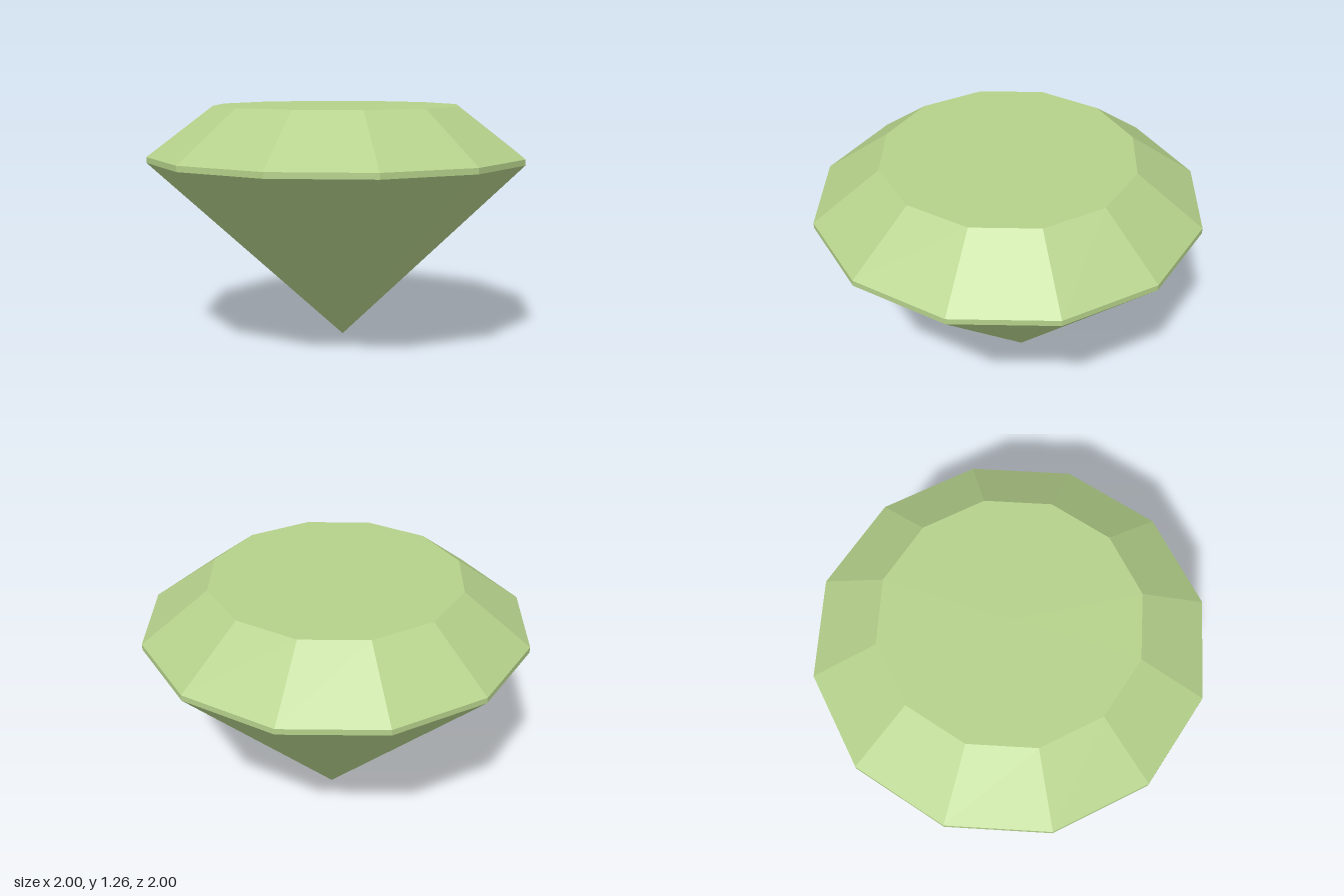
import * as THREE from 'three';

const SIDES = 12;
const GIRDLE_LOW = 0.97, GIRDLE_HIGH = 1.0, TABLE_Y = 1.26, TABLE_R = 0.655;
const CULET = { x: 0.07, z: -0.035 };

export function createModel() {
  const gem = new THREE.Group();
  gem.name = 'gem';
  const material = new THREE.MeshStandardMaterial({ color: 0xb4d08a, flatShading: true });

  const add = (name, geometry) => {
    const mesh = new THREE.Mesh(geometry, material);
    mesh.name = name;
    gem.add(mesh);
  };

  // Open twelve-sided ring between two heights
  const ring = (rTop, rBottom, yTop, yBottom) =>
    new THREE.CylinderGeometry(rTop, rBottom, yTop - yBottom, SIDES, 1, true)
      .translate(0, (yTop + yBottom) / 2, 0);

  // Flat top facet
  add('table', new THREE.CircleGeometry(TABLE_R, SIDES).rotateX(-Math.PI / 2).translate(0, TABLE_Y, 0));

  // Sloping upper facets and the thin band at the widest point
  add('crown', ring(TABLE_R, 1, TABLE_Y, GIRDLE_HIGH));
  add('girdle', ring(1, 1, GIRDLE_HIGH, GIRDLE_LOW));

  // Lower point, sheared so that its tip sits slightly off centre
  const pavilion = ring(1, 0, GIRDLE_LOW, 0);
  const p = pavilion.attributes.position;
  for (let i = 0; i < p.count; i++) {
    const t = 1 - p.getY(i) / GIRDLE_LOW;
    p.setX(i, p.getX(i) + CULET.x * t);
    p.setZ(i, p.getZ(i) + CULET.z * t);
  }
  pavilion.computeVertexNormals();
  add('pavilion', pavilion);

  return gem;
}
